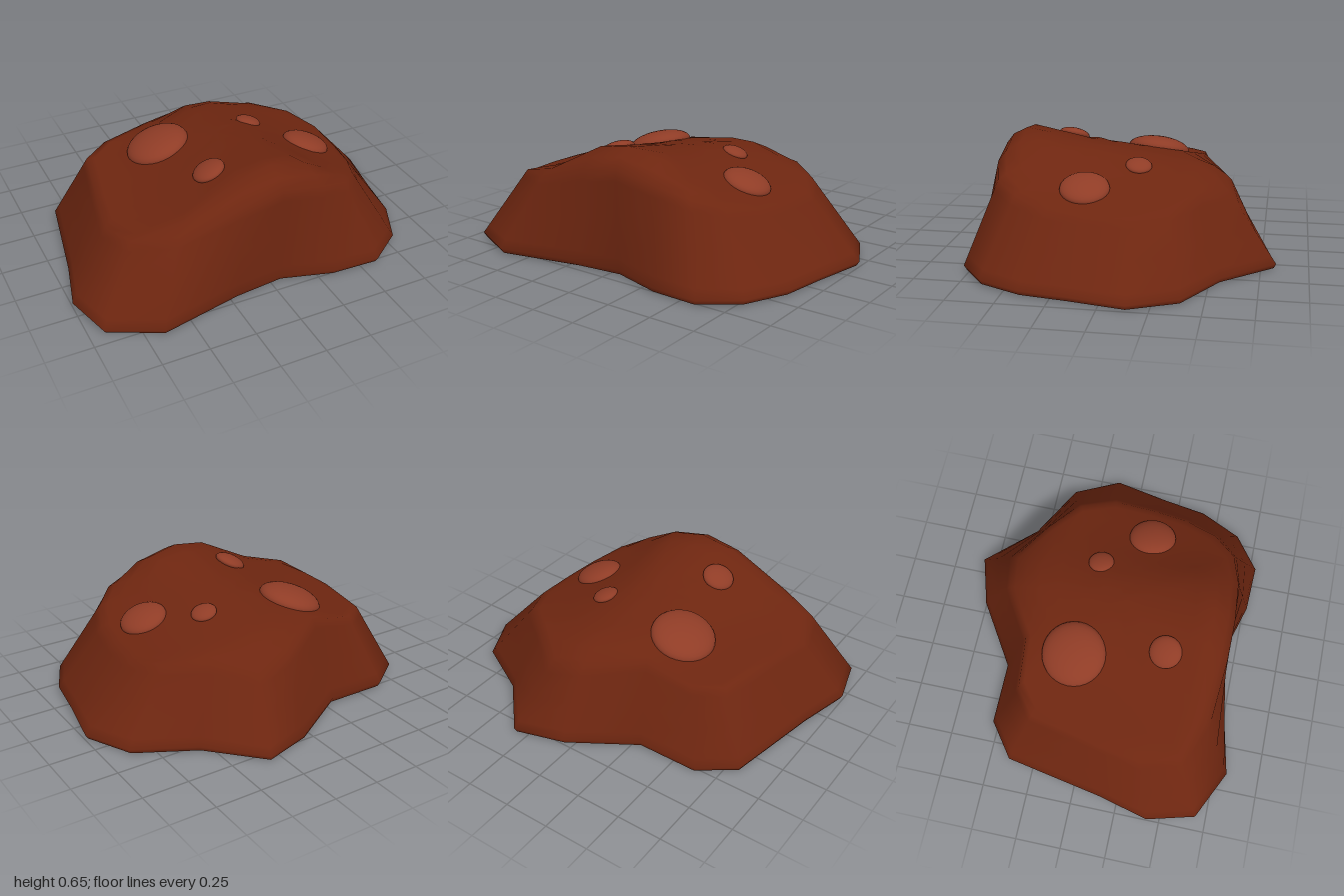
import * as THREE from 'three';

// Each spoke: foot x, z and shoulder x, z, running clockwise from the back tip
const SPOKES = [
  [0.32, -0.83, 0.24, -0.60], [0.57, -0.56, 0.44, -0.44], [0.88, -0.39, 0.62, -0.29],
  [1.00, -0.14, 0.70, -0.10], [0.94, 0.16, 0.69, 0.12], [0.90, 0.41, 0.66, 0.32],
  [0.79, 0.64, 0.58, 0.50], [0.60, 0.78, 0.46, 0.62], [0.34, 0.77, 0.28, 0.67],
  [0.06, 0.69, 0.05, 0.685], [-0.21, 0.72, -0.17, 0.685], [-0.66, 0.82, -0.50, 0.64],
  [-0.93, 0.69, -0.71, 0.54], [-1.00, 0.43, -0.77, 0.33], [-0.93, 0.15, -0.73, 0.10],
  [-0.83, -0.39, -0.65, -0.28], [-0.64, -0.53, -0.51, -0.38], [-0.30, -0.53, -0.25, -0.40],
  [0.05, -0.75, 0.04, -0.57],
];

// Crest height across x, and how strongly it shows along z
const CREST = [[-0.77, 0.36], [-0.72, 0.40], [-0.6, 0.43], [-0.43, 0.48], [-0.14, 0.63],
  [0.06, 0.655], [0.2, 0.635], [0.4, 0.51], [0.6, 0.41], [0.7, 0.35]];
const FADE = [[-0.35, 0.47], [0.16, 0.73], [0.57, 1]];

function sample(table, v) {
  if (v <= table[0][0]) return table[0][1];
  for (let i = 1; i < table.length; i++) {
    const [a, ya] = table[i - 1], [b, yb] = table[i];
    if (v <= b) return ya + (yb - ya) * (v - a) / (b - a);
  }
  return table[table.length - 1][1];
}

// Height of the upper surface, rounded off toward the front and back rims
function height(x, z) {
  const front = Math.max(0, z - 0.57), back = Math.max(0, -0.35 - z);
  return 0.38 + (sample(CREST, x) - 0.38) * sample(FADE, z) - 7 * front * front - 2.2 * back * back;
}

// Joins rings of equal length from the outside in, closed at a centre point
function skin(rings, centre, flip = false) {
  const n = rings[0].length, index = [];
  const add = (a, b, c) => index.push(...(flip ? [a, c, b] : [a, b, c]));
  for (let r = 0; r < rings.length; r++) {
    for (let i = 0; i < n; i++) {
      const j = (i + 1) % n, a = r * n + i, b = r * n + j;
      if (r < rings.length - 1) {
        add(a, a + n, b);
        add(a + n, b + n, b);
      } else add(a, rings.length * n, b);
    }
  }
  const geo = new THREE.BufferGeometry();
  geo.setAttribute('position', new THREE.Float32BufferAttribute([...rings.flat(2), ...centre], 3));
  geo.setIndex(index);
  geo.computeVertexNormals();
  return geo;
}

export function createModel() {
  const group = new THREE.Group();
  const rock = new THREE.MeshStandardMaterial({ color: 0x6e2610 });
  const spotMaterial = new THREE.MeshStandardMaterial({ color: 0x8f3c26 });

  // Sloping walls from the foot to the shoulder, then the crowned top
  const rings = [];
  rings.push(SPOKES.map(([x, z]) => [x * 0.985, 0.005, z * 0.985]));
  for (const t of [0, 0.12, 0.5, 0.88, 1]) {
    rings.push(SPOKES.map(([x, z, sx, sz]) => [
      x + (sx - x) * t, 0.03 + (height(sx, sz) - 0.03) * t, z + (sz - z) * t]));
  }
  for (const t of [0.94, 0.83, 0.68, 0.5, 0.3, 0.15]) {
    rings.push(SPOKES.map(([, , sx, sz]) => [sx * t, height(sx * t, sz * t), sz * t]));
  }
  const body = new THREE.Mesh(skin(rings, [0, height(0, 0), 0]), rock);
  body.name = 'rockBody';
  group.add(body);

  // Flat underside with a small chamfer
  const under = [0.985, 0.97].map((s, k) => SPOKES.map(([x, z]) => [x * s, k ? 0 : 0.005, z * s]));
  const base = new THREE.Mesh(skin(under, [0, 0, 0], true), rock);
  base.name = 'underside';
  group.add(base);

  // Flattened bumps lying on the surface: x, z, radius
  const up = new THREE.Vector3(0, 1, 0), e = 0.08;
  for (const [x, z, r] of [[-0.29, -0.125, 0.175], [0.485, 0.155, 0.13], [0.25, -0.09, 0.07], [-0.205, 0.355, 0.088]]) {
    const spot = new THREE.Mesh(new THREE.SphereGeometry(r, 32, 16), spotMaterial);
    const normal = new THREE.Vector3(
      height(x - e, z) - height(x + e, z), 2 * e, height(x, z - e) - height(x, z + e)).normalize();
    spot.quaternion.setFromUnitVectors(up, normal);
    spot.scale.y = 0.4;
    spot.position.set(x, height(x, z), z);
    spot.name = 'spot';
    group.add(spot);
  }
  return group;
}
